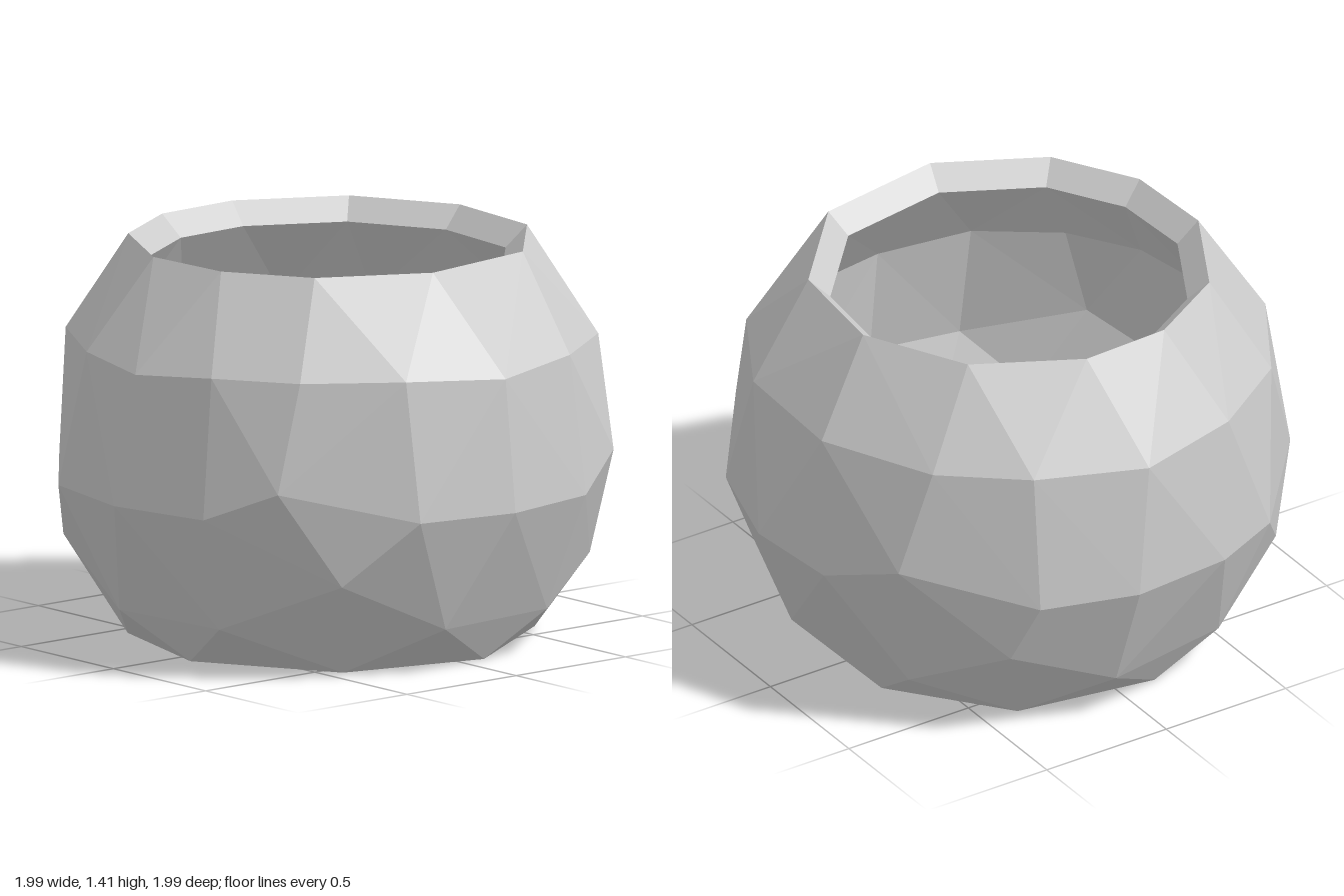
import * as THREE from 'three';
import { ConvexGeometry } from 'three/addons/geometries/ConvexGeometry.js';

const MID = 0.705;      // height of the sphere's centre
const RADIUS = 1.004;   // outer sphere
const INNER = 0.89;     // cavity scale about the centre
const TOP = 1.41;

// Facet corners: rows of angles (degrees from +x towards +z) with a height
const rimAngles = [-169, -135, -101, -67, -29, 10.5, 45, 73, 101, 135, 164];
const rows = [
  [TOP, rimAngles],
  [1.05, [87, 0, -178]],
  [1.075, [67, 47, 24, -23, -47, -73, -102, -130, -152, 158, 134, 107]],
  [0.69, [51, -39, -124]],
  [0.58, [90, 67, 22, 0, -23, -62, -85, -106, -153, -174, 164, 147, 114]],
  [0.35, [130, 38, -147]],
  [0.27, [-54]],
  [0.16, [102, 68, 12, -23, -82, -122, -173, 153]],
  [0, [-57, -8, 37, 84, 128, 168, -149, -108]],
];

function spherePoint(angle, y) {
  const r = Math.sqrt(RADIUS ** 2 - (y - MID) ** 2);
  const a = THREE.MathUtils.degToRad(angle);
  return new THREE.Vector3(r * Math.cos(a), y, r * Math.sin(a));
}

const shrink = (p) => new THREE.Vector3(p.x * INNER, MID + (p.y - MID) * INNER, p.z * INNER);

function fromTriangles(points) {
  const geometry = new THREE.BufferGeometry().setFromPoints(points);
  geometry.computeVertexNormals();
  return geometry;
}

// Faceted sphere with a flat base and its top cap removed
function openShellTriangles() {
  const points = rows.flatMap(([y, angles]) => angles.map((a) => spherePoint(a, y)));
  const pos = new ConvexGeometry(points).getAttribute('position');
  const out = [];
  for (let i = 0; i < pos.count; i += 3) {
    const tri = [0, 1, 2].map((k) => new THREE.Vector3().fromBufferAttribute(pos, i + k));
    if (!tri.every((p) => p.y > TOP - 0.01)) out.push(...tri);
  }
  return out;
}

export function createModel() {
  const group = new THREE.Group();
  group.name = 'bowl';
  const material = new THREE.MeshStandardMaterial({ color: 0xcccccc, flatShading: true });
  const add = (name, points) => {
    const mesh = new THREE.Mesh(fromTriangles(points), material);
    mesh.name = name;
    group.add(mesh);
  };

  // Outside wall and base
  const shell = openShellTriangles();
  add('outerWall', shell);

  // Cavity: smaller copy turned inside out
  const cavity = [];
  for (let i = 0; i < shell.length; i += 3) {
    cavity.push(shrink(shell[i]), shrink(shell[i + 2]), shrink(shell[i + 1]));
  }
  add('innerWall', cavity);

  // Bevelled rim joining both walls
  const rim = [];
  rimAngles.forEach((angle, i) => {
    const o0 = spherePoint(angle, TOP);
    const o1 = spherePoint(rimAngles[(i + 1) % rimAngles.length], TOP);
    const i0 = shrink(o0), i1 = shrink(o1);
    rim.push(o0, i0, i1, o0, i1, o1);
  });
  add('rim', rim);

  return group;
}
